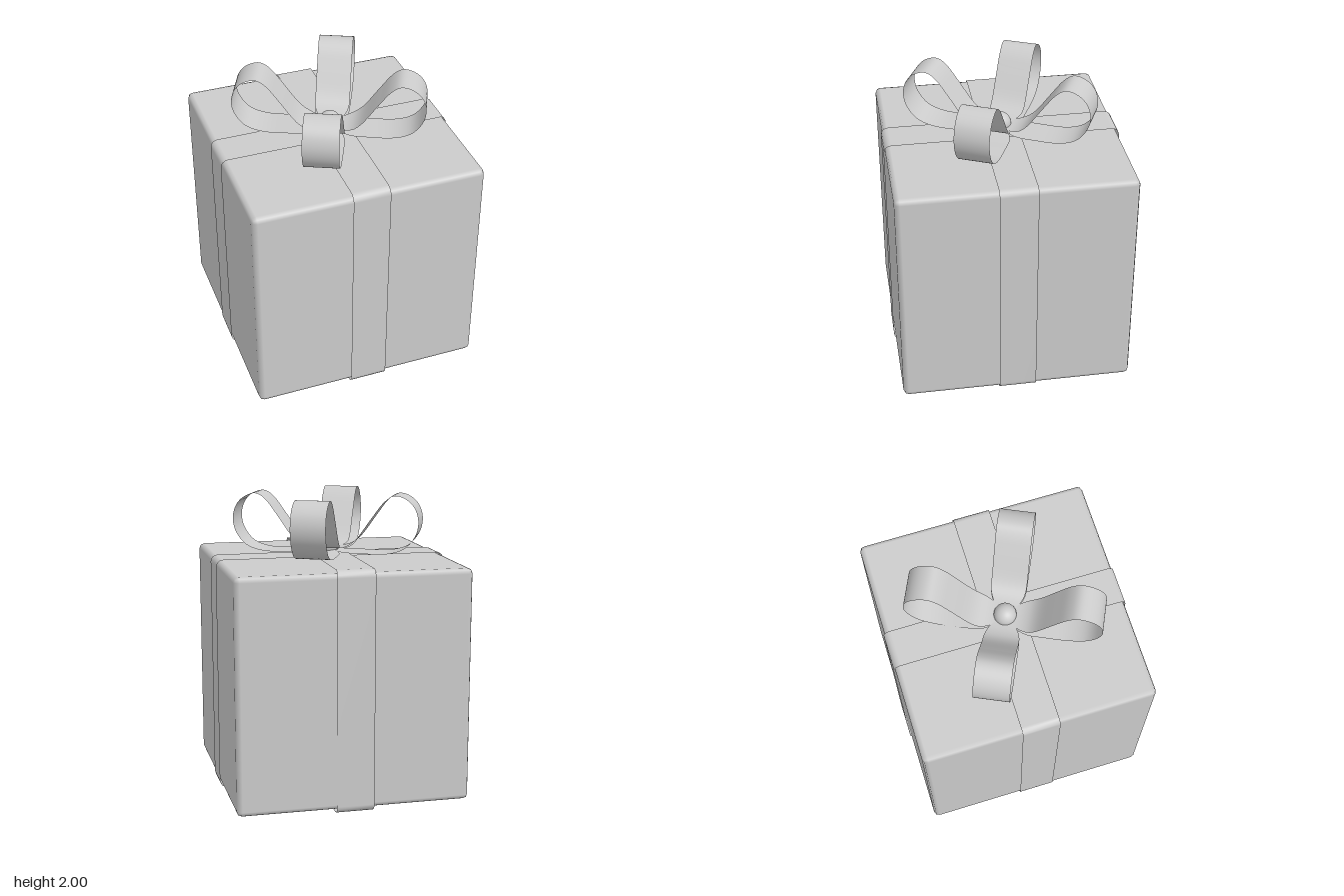
import * as THREE from 'three';
import { RoundedBoxGeometry } from 'three/addons/geometries/RoundedBoxGeometry.js';

const material = new THREE.MeshStandardMaterial({ color: 0xcccccc });
const ribbonMaterial = new THREE.MeshStandardMaterial({ color: 0xcccccc, side: THREE.DoubleSide });

// Thin strip following a path in the XY plane, its width running along z.
function stripGeometry(path, halfWidth, closed) {
  const positions = [], index = [], n = path.length;
  path.forEach((p, i) => {
    const w = halfWidth(p);
    positions.push(p.x, p.y, w, p.x, p.y, -w);
    if (i === n - 1 && !closed) return;
    const a = 2 * i, b = 2 * ((i + 1) % n);
    index.push(a, b, a + 1, b, b + 1, a + 1);
  });
  const geometry = new THREE.BufferGeometry();
  geometry.setAttribute('position', new THREE.Float32BufferAttribute(positions, 3));
  geometry.setIndex(index);
  geometry.computeVertexNormals();
  return geometry;
}

// Rounded rectangle path around the box, clockwise so the strip faces outward.
function wrapPath(half, bottom, top, radius) {
  const path = [];
  const corners = [[1, 1], [1, -1], [-1, -1], [-1, 1]];
  corners.forEach(([sx, sy], c) => {
    const cx = sx * (half - radius), cy = sy > 0 ? top - radius : bottom + radius;
    for (let k = 0; k <= 4; k++) {
      const angle = Math.PI / 2 - (c + k / 4) * Math.PI / 2;
      path.push(new THREE.Vector2(cx + radius * Math.cos(angle), cy + radius * Math.sin(angle)));
    }
  });
  return path;
}

export function createModel() {
  const model = new THREE.Group();
  const add = (name, geometry, mat, parent = model) => {
    const mesh = new THREE.Mesh(geometry, mat);
    mesh.name = name;
    parent.add(mesh);
    return mesh;
  };

  // Gift box with softened edges
  add('box', new RoundedBoxGeometry(1.554, 1.554, 1.554, 1, 0.035), material).position.y = 0.802;

  // Two ribbons wrapped around the box, one lying over the other
  add('sideRibbon', stripGeometry(wrapPath(0.786, 0.015, 1.588, 0.045), () => 0.125, true), ribbonMaterial);
  add('frontRibbon', stripGeometry(wrapPath(0.786, 0, 1.6, 0.05), () => 0.125, true), ribbonMaterial)
    .rotation.y = Math.PI / 2;

  // Bow: four teardrop loops, pinched toward the middle
  const bow = new THREE.Group();
  bow.name = 'bow';
  model.add(bow);
  const profile = [
    [0, 1.63], [0.1, 1.615], [0.25, 1.61], [0.42, 1.612], [0.54, 1.65], [0.612, 1.735],
    [0.634, 1.83], [0.61, 1.92], [0.55, 1.98], [0.47, 2.0], [0.4, 1.955], [0.32, 1.85],
    [0.21, 1.7], [0.12, 1.645], [0, 1.635],
  ].map(([r, y]) => new THREE.Vector2(r, y));
  const loopPath = new THREE.SplineCurve(profile).getPoints(70);
  const pinch = (p) => 0.03 + 0.086 * Math.sin(Math.min(1, Math.max(0, p.x) / 0.19) * Math.PI / 2);
  const loopGeometry = stripGeometry(loopPath, pinch, false);
  for (let i = 0; i < 4; i++) {
    add('bowLoop' + (i + 1), loopGeometry, ribbonMaterial, bow)
      .rotation.y = -THREE.MathUtils.degToRad(25 + 90 * i);
  }

  // Round knot in the middle
  add('knot', new THREE.SphereGeometry(0.074, 24, 16), material, bow).position.y = 1.645;

  return model;
}
